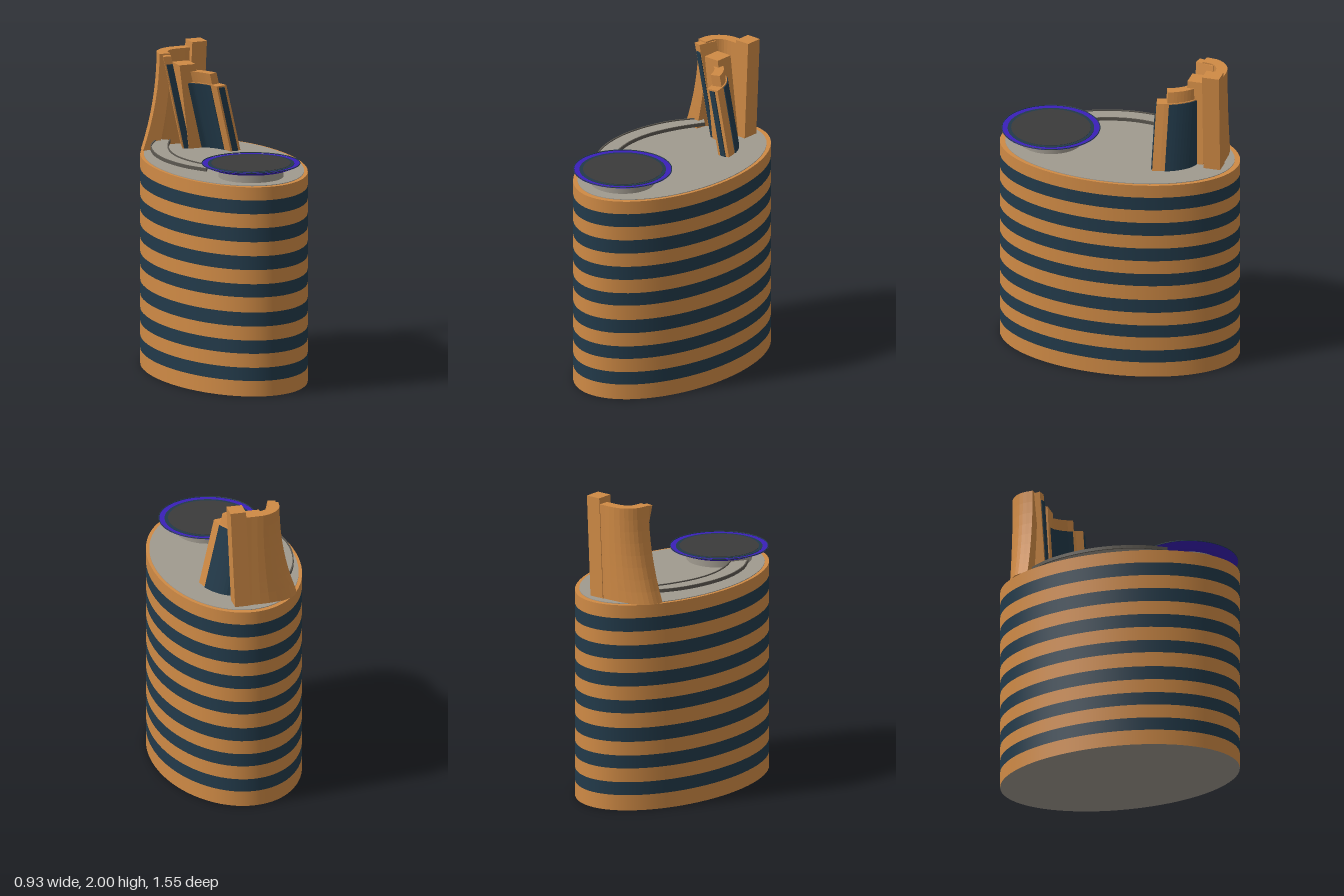
import * as THREE from 'three';

const RX = 0.467, RZ = 0.775, ROOF = 1.345;

export function createModel() {
  const model = new THREE.Group();
  model.name = 'tower';
  const mat = (name, color) => {
    const m = new THREE.MeshStandardMaterial({ color, side: THREE.DoubleSide });
    m.name = name;
    return m;
  };
  const copper = mat('copper', 0xcf8a45);
  const navy = mat('navy glass', 0x223a4a);
  const stone = mat('roof stone', 0xa09a8f);
  const rail = mat('rail grey', 0x5c5850);
  const asphalt = mat('asphalt', 0x3b3b3b);
  const purple = mat('purple', 0x3a20b8);

  const add = (name, geo, material, x = 0, y = 0, z = 0, parent = model) => {
    const mesh = new THREE.Mesh(geo, material);
    mesh.name = name;
    mesh.position.set(x, y, z);
    parent.add(mesh);
    return mesh;
  };

  // Striped elliptical body, alternating copper floors and glass bands
  const levels = [0, 0.1, 0.185, 0.275, 0.36, 0.45, 0.54, 0.637, 0.722, 0.813, 0.902, 0.992, 1.082, 1.172, 1.26, ROOF];
  for (let i = 0; i < levels.length - 1; i++) {
    const h = levels[i + 1] - levels[i];
    const last = i === levels.length - 2;
    const geo = new THREE.CylinderGeometry(1, 1, h, 72, 1, !last).scale(RX, 1, RZ);
    add(i % 2 ? 'glassBand' : 'copperBand', geo, i % 2 ? navy : copper, 0, levels[i] + h / 2, 0);
  }
  add('floor', new THREE.CircleGeometry(1, 72).rotateX(Math.PI / 2).scale(RX, 1, RZ), stone);
  add('roof', new THREE.CylinderGeometry(1, 1, 0.004, 72).scale(RX - 0.02, 1, RZ - 0.035), stone, 0, ROOF + 0.002, 0);

  // Landing pad on a round pedestal
  const pad = new THREE.Group();
  pad.name = 'landingPad';
  pad.position.set(-0.01, 0, 0.455);
  model.add(pad);
  add('pedestal', new THREE.CylinderGeometry(0.205, 0.205, 0.065, 48), stone, 0, ROOF + 0.0325, 0, pad);
  add('padDish', new THREE.CylinderGeometry(0.31, 0.25, 0.024, 64), purple, 0, 1.418, 0, pad);
  add('padInnerRing', new THREE.CylinderGeometry(0.272, 0.272, 0.003, 64), navy, 0, 1.431, 0, pad);
  add('padSurface', new THREE.CylinderGeometry(0.25, 0.25, 0.003, 64), asphalt, 0, 1.433, 0, pad);
  add('padRail', new THREE.TorusGeometry(0.308, 0.003, 6, 64).rotateX(Math.PI / 2), navy, 0, 1.434, 0, pad);

  const curve = (pts, n) => new THREE.CatmullRomCurve3(pts.map(([x, z]) => new THREE.Vector3(x, 0, z))).getPoints(n);

  // Closed plan outline extruded upward, then shifted by a rule(t) where t runs 0..1 from base to top
  const tower = (outline, y0, y1, rule, steps = 8) => {
    const shape = new THREE.Shape(outline.map(([x, z]) => new THREE.Vector2(x, -z)));
    const geo = new THREE.ExtrudeGeometry(shape, { depth: y1 - y0, steps, bevelEnabled: false });
    geo.rotateX(-Math.PI / 2).translate(0, y0, 0);
    const p = geo.attributes.position;
    if (rule) {
      for (let i = 0; i < p.count; i++) p.setX(i, rule(p.getX(i), p.getY(i)));
      geo.computeVertexNormals();
    }
    return geo;
  };

  // Ribbon outline between offsets a and b of a plan curve
  const ribbon = (pts, a, b, n = 12) => {
    const c = curve(pts, n);
    const side = (d) => c.map((v, i) => {
      const q = c[Math.max(i - 1, 0)], r = c[Math.min(i + 1, n)];
      const l = Math.hypot(r.x - q.x, r.z - q.z);
      return [v.x + d * (r.z - q.z) / l, v.z - d * (r.x - q.x) / l];
    });
    return [...side(a), ...side(b).reverse()];
  };

  // Curved walkway from the sculpture to the pad, with thin rails
  const outer = [[-0.22, -0.55], [-0.34, -0.37], [-0.405, -0.16], [-0.415, 0.05], [-0.37, 0.25], [-0.29, 0.4]];
  const inner = [[-0.16, -0.49], [-0.25, -0.31], [-0.305, -0.12], [-0.31, 0.04], [-0.28, 0.18], [-0.23, 0.3]];
  const edge = (pts) => curve(pts, 24).map((v) => [v.x, v.z]);
  add('walkway', tower([...edge(outer), ...edge(inner).reverse()], 1.393, 1.405, null, 1), stone);
  for (const pts of [outer, inner]) {
    add('walkwayRail', tower(ribbon(pts, -0.004, 0.004, 24), 1.391, 1.412, null, 1), rail);
  }

  // Flared rear sail, widening toward its foot
  const flare = (x, y) => {
    const t = (y - ROOF) / 0.615;
    return x * (1 + 0.5 * (1 - t) ** 2);
  };
  add('rearSail', tower(ribbon([[-0.19, -0.5], [-0.175, -0.58], [-0.11, -0.635], [0.03, -0.645]], -0.035, 0.035), ROOF, 1.96, flare), copper);

  // Leaning upright post
  const lean = (amount) => (x, y) => x + amount * (y - ROOF);
  const box = (x0, x1, z0, z1) => [[x0, z0], [x1, z0], [x1, z1], [x0, z1]];
  add('rearPost', tower(box(0.0, 0.1, -0.685, -0.575), ROOF, 2, lean(0.045), 1), copper);

  // Tall fin with a glass front
  const finLean = lean(-0.22);
  add('tallFin', tower([[-0.05, -0.57], [0, -0.57], [-0.035, -0.45], [-0.085, -0.46]], ROOF, 1.95, finLean, 1), copper);
  add('tallFinGlass', tower([[-0.076, -0.458], [-0.038, -0.45], [-0.038, -0.444], [-0.076, -0.452]], ROOF, 1.9, finLean, 1), navy);

  // Core column joining the sails
  add('coreColumn', tower(box(-0.05, 0.06, -0.56, -0.44), ROOF, 1.89, lean(-0.12), 1), copper);

  // Curved front blade with glass on both faces and on its end
  const bladeLean = lean(-0.225);
  const arc = [[0.02, -0.49], [0.09, -0.465], [0.145, -0.405], [0.178, -0.34], [0.195, -0.27]];
  const part = (from, to) => {
    const c = new THREE.CatmullRomCurve3(arc.map(([x, z]) => new THREE.Vector3(x, 0, z)));
    return [0, 1, 2, 3, 4].map((i) => c.getPoint(from + (to - from) * i / 4)).map((v) => [v.x, v.z]);
  };
  add('frontBlade', tower(ribbon(arc, -0.038, 0.038), ROOF, 1.775, bladeLean), copper);
  add('frontBladeCap', tower(ribbon(part(0, 0.78), -0.03, 0.03), 1.77, 1.845, bladeLean, 1), copper);
  for (const s of [-1, 1]) {
    add('bladeGlass', tower(ribbon(part(0.08, 0.75), s * 0.037, s * 0.043), ROOF, 1.77, bladeLean), navy);
  }
  add('bladeEndGlass', tower(box(0.172, 0.212, -0.272, -0.265), ROOF, 1.765, bladeLean, 1), navy);

  return model;
}
